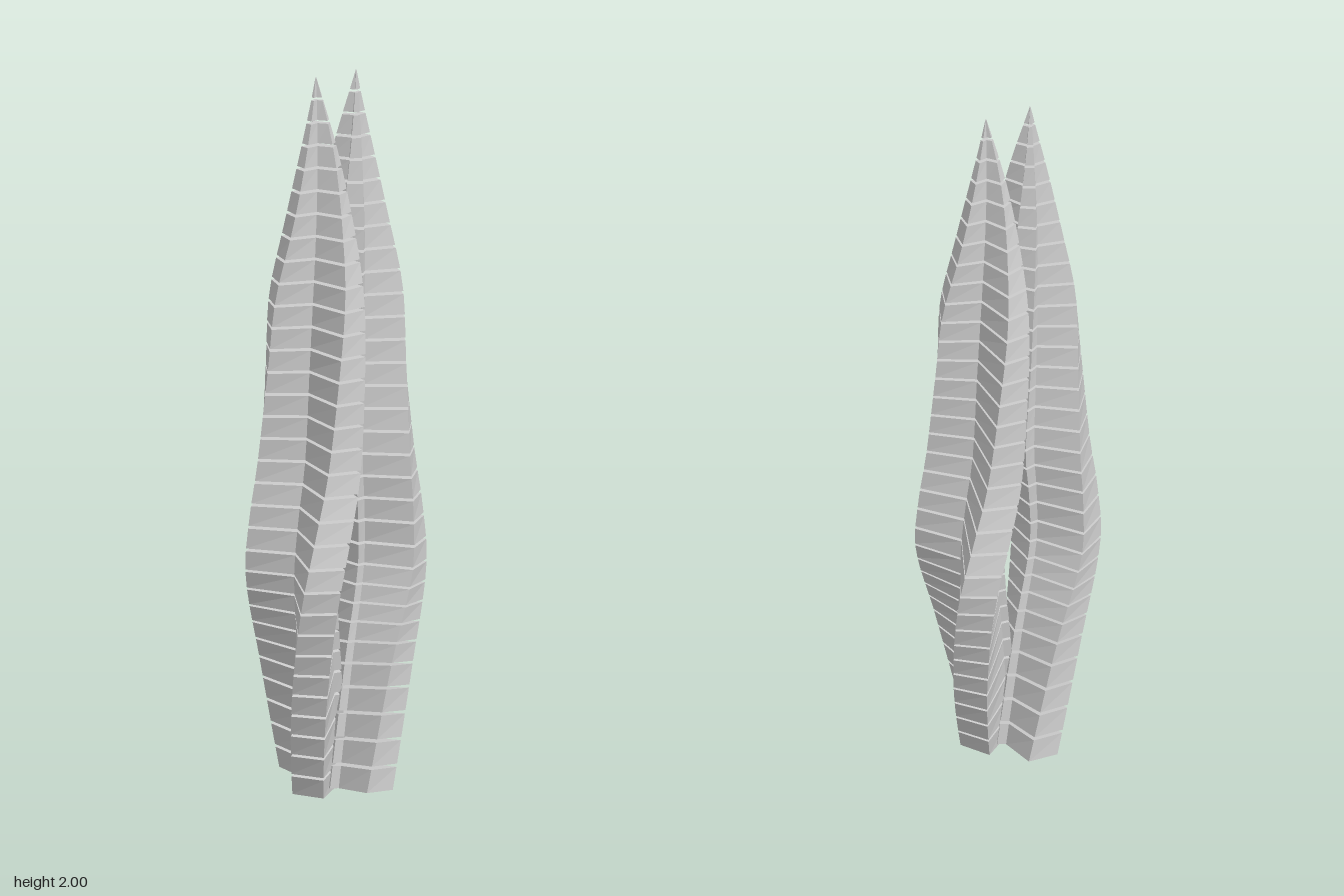
import * as THREE from 'three';

// Key sections of one tower: three arms, 120 degrees apart, round a centre.
// [y, centre x, centre z, left arm deg, right length, left length, inner length, width, tilt]
const KEYS = [
  [0.00, -0.043, -0.010, 190, 0.140, 0.147, 0.050, 0.090, 0.08],
  [0.30, -0.022, 0.050, 176, 0.185, 0.160, 0.050, 0.096, 0.14],
  [0.62, -0.003, 0.100, 161, 0.222, 0.171, 0.050, 0.100, 0],
  [0.78, -0.005, 0.088, 153, 0.205, 0.165, 0.055, 0.100, 0],
  [0.93, -0.008, 0.068, 146, 0.186, 0.157, 0.060, 0.096, 0],
  [1.20, -0.008, 0.067, 135, 0.168, 0.137, 0.050, 0.084, 0],
  [1.40, -0.009, 0.066, 125, 0.145, 0.125, 0.045, 0.072, 0],
  [1.60, -0.010, 0.066, 113, 0.100, 0.085, 0.034, 0.054, 0],
  [1.80, -0.012, 0.066, 100, 0.055, 0.045, 0.018, 0.028, 0],
  [2.00, -0.015, 0.066, 85, 0.001, 0.001, 0.001, 0.001, 0],
];

// Smooth interpolation between the key sections
function sample(y) {
  let i = 0;
  while (i < KEYS.length - 2 && y > KEYS[i + 1][0]) i++;
  const a = KEYS[i], b = KEYS[i + 1], h = b[0] - a[0], t = (y - a[0]) / h;
  const slope = (k, c) => {
    const p = KEYS[Math.max(k - 1, 0)], n = KEYS[Math.min(k + 1, KEYS.length - 1)];
    return (n[c] - p[c]) / (n[0] - p[0]);
  };
  const t2 = t * t, t3 = t2 * t;
  return a.map((_, c) => (2 * t3 - 3 * t2 + 1) * a[c] + (t3 - 2 * t2 + t) * h * slope(i, c)
    + (3 * t2 - 2 * t3) * b[c] + (t3 - t2) * h * slope(i + 1, c));
}

// Nine outline points at height y, followed by the centre
function section(y) {
  const [, cx, cz, leftDeg, right, left, inner, w, tilt] = sample(y);
  const pts = [];
  [right, left, inner].forEach((len, k) => {
    const a = (leftDeg + 120 * (k - 1)) * Math.PI / 180;
    const c = Math.cos(a), s = Math.sin(a), crease = a + Math.PI / 3;
    for (const side of [-w / 2, w / 2]) pts.push([cx + c * len - s * side, cz + s * len + c * side]);
    pts.push([cx + Math.cos(crease) * w / Math.sqrt(3), cz + Math.sin(crease) * w / Math.sqrt(3)]);
  });
  pts.push([cx, cz]);
  const top = Math.max(...pts.map(([x, z]) => x + z));
  return pts.map(([x, z]) => [x, y + tilt * (top - x - z), z]);
}

// A closed slab between two heights
function slabGeometry(y0, y1) {
  const pos = [...section(y0), ...section(y1)].flat();
  const index = [];
  for (let i = 0; i < 9; i++) {
    const j = (i + 1) % 9;
    index.push(i, i + 10, j, j, i + 10, j + 10);
    index.push(9, i, j, 19, j + 10, i + 10);
  }
  const g = new THREE.BufferGeometry();
  g.setAttribute('position', new THREE.Float32BufferAttribute(pos, 3));
  g.setIndex(index);
  const flat = g.toNonIndexed();
  flat.computeVertexNormals();
  return flat;
}

export function createModel() {
  const model = new THREE.Group();
  model.name = 'twinTwistedTowers';
  const material = new THREE.MeshStandardMaterial({ color: 0xcccccc, flatShading: true });

  // Stacked floors with thin open gaps between them
  const floors = 32, gap = 0.008, pitch = (2 + gap) / floors;
  const geometries = [];
  for (let i = 0; i < floors; i++) {
    geometries.push(slabGeometry(i * pitch, Math.min(i * pitch + pitch - gap, 2)));
  }

  // The back tower is the front one turned half way round
  for (const [name, turn] of [['frontTower', 0], ['backTower', Math.PI]]) {
    const tower = new THREE.Group();
    tower.name = name;
    tower.rotation.y = turn;
    geometries.forEach((g, i) => {
      const floor = new THREE.Mesh(g, material);
      floor.name = `floor${i + 1}`;
      tower.add(floor);
    });
    model.add(tower);
  }
  return model;
}
